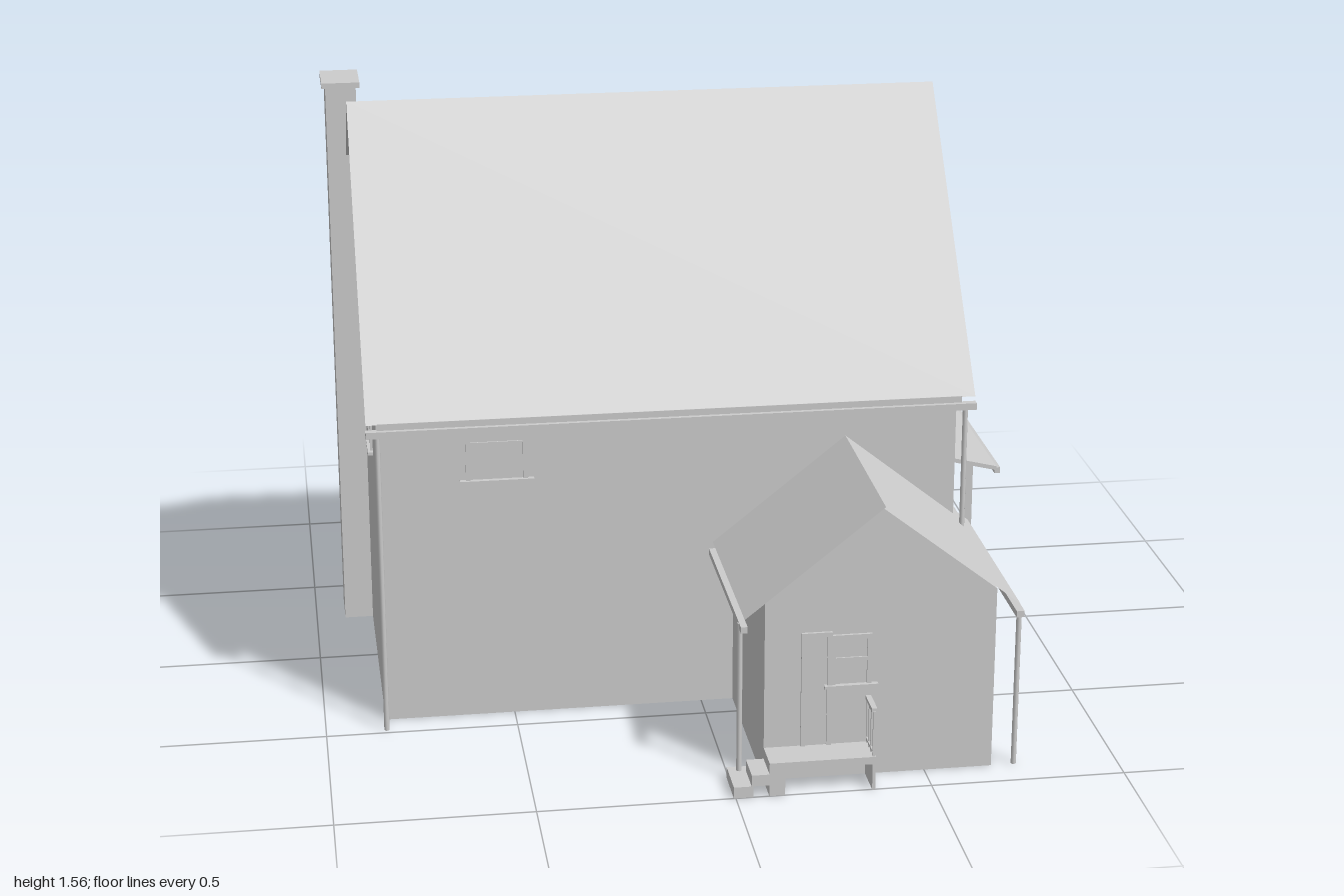
import * as THREE from 'three';

export function createModel() {
  const house = new THREE.Group();
  house.name = 'house';
  const grey = new THREE.MeshStandardMaterial({ color: 0xcccccc, side: THREE.DoubleSide });
  grey.name = 'plain grey';

  const add = (name, geometry, parent = house) => {
    const mesh = new THREE.Mesh(geometry, grey);
    mesh.name = name;
    parent.add(mesh);
    return mesh;
  };
  // Box given by its limits on each axis
  const box = (name, x0, x1, y0, y1, z0, z1, parent) => {
    const g = new THREE.BoxGeometry(x1 - x0, y1 - y0, z1 - z0);
    g.translate((x0 + x1) / 2, (y0 + y1) / 2, (z0 + z1) / 2);
    return add(name, g, parent);
  };
  // Flat four-cornered sheet
  const sheet = (name, a, b, c, d) => {
    const g = new THREE.BufferGeometry();
    g.setAttribute('position', new THREE.Float32BufferAttribute([a, b, c, a, c, d].flat(), 3));
    g.computeVertexNormals();
    return add(name, g);
  };
  // Gabled block: outline of five points, extruded
  const gable = (s0, s1, y0, eave, mid, ridge, depth) => new THREE.ExtrudeGeometry(
    new THREE.Shape([[s0, y0], [s1, y0], [s1, eave], [mid, ridge], [s0, eave]]
      .map(p => new THREE.Vector2(...p))), { depth, bevelEnabled: false });
  // Thin foundation walls, open below
  const skirt = (name, x0, x1, z0, z1, h = 0.09, t = 0.006) => {
    const g = new THREE.Group();
    g.name = name;
    house.add(g);
    box('skirtBack', x0, x1, 0, h, z0, z0 + t, g);
    box('skirtFront', x0, x1, 0, h, z1 - t, z1, g);
    box('skirtRight', x0, x0 + t, 0, h, z0, z1, g);
    box('skirtLeft', x1 - t, x1, 0, h, z0, z1, g);
  };

  // Main block and front room
  const main = gable(-0.42, 0.64, 0.085, 0.91, 0.11, 1.53, 1.517);
  main.rotateY(Math.PI / 2).translate(-0.842, 0, 0);
  add('mainWalls', main);
  skirt('mainFoundation', -0.842, 0.675, -0.64, 0.42);
  add('frontRoomWalls', gable(0.085, 0.675, 0.085, 0.49, 0.38, 0.722, 0.49).translate(0, 0, 0.42));
  skirt('frontRoomFoundation', 0.085, 0.675, 0.42, 0.91);

  // Main roof, with eave gutters
  for (const z of [0.48, -0.70]) {
    sheet('mainRoof', [-0.87, 1.545, -0.11], [-0.87, 0.848, z], [0.71, 0.848, z], [0.71, 1.545, -0.11]);
    const s = Math.sign(z);
    box('mainGutter', -0.87, 0.712, 0.815, 0.833, Math.min(z - s * 0.008, z + s * 0.012), Math.max(z - s * 0.008, z + s * 0.012));
    box('eaveBoard', -0.842, 0.675, 0.833, 0.85, Math.min(z, z - s * 0.008), Math.max(z, z - s * 0.008));
  }

  // Front room roof
  for (const x of [0.03, 0.73]) {
    sheet('frontRoomRoof', [0.38, 0.735, 0.42], [x, 0.455, 0.42], [x, 0.455, 0.935], [0.38, 0.735, 0.935]);
  }
  sheet('roofTail', [0.675, 0.499, 0.36], [0.73, 0.455, 0.36], [0.73, 0.455, 0.42], [0.675, 0.499, 0.42]);
  box('roomGutterLeft', 0.72, 0.74, 0.42, 0.437, 0.355, 0.938);
  box('roomGutterRight', 0.02, 0.037, 0.42, 0.437, 0.42, 0.938);

  // Downspouts: x, z, bottom, top
  for (const [x, z, y0, y1] of [
    [-0.842, 0.482, 0, 0.83], [0.684, 0.482, 0.47, 0.83],
    [0.684, -0.705, 0.48, 0.83], [-0.842, -0.705, 0.48, 0.83],
    [0.023, 0.905, 0, 0.435], [0.735, 0.905, 0, 0.435], [0.735, 0.39, 0, 0.435],
  ]) add('downspout', new THREE.CylinderGeometry(0.007, 0.007, y1 - y0, 8).translate(x, (y0 + y1) / 2, z));

  // Chimney
  box('chimney', -0.92, -0.838, 0, 1.545, -0.4, -0.268);
  box('chimneyCap', -0.93, -0.828, 1.545, 1.56, -0.41, -0.258);

  // Windows and door are built facing +z, then turned to their wall
  const opening = (name, x, z, turn, w, y0, y1, isDoor) => {
    const g = new THREE.Group();
    g.name = name;
    g.position.set(x, 0, z);
    g.rotation.y = turn;
    house.add(g);
    const h = w / 2, t = 0.012;
    box('pane', -h, h, y0, y1, -0.002, 0.001, g);
    box('jamb', -h, -h + t, y0, y1, 0, 0.007, g);
    box('jamb', h - t, h, y0, y1, 0, 0.007, g);
    box('head', -h, h, y1 - t, y1, 0, 0.007, g);
    if (isDoor) return;
    box('sashRail', -h, h, (y0 + y1) / 2 - 0.005, (y0 + y1) / 2 + 0.005, 0, 0.005, g);
    box('sill', -h - 0.016, h + 0.016, y0 - 0.008, y0, -0.002, 0.014, g);
  };
  const q = Math.PI / 2;
  opening('frontWindow', -0.535, 0.42, 0, 0.16, 0.665, 0.86);
  opening('roomWindow', 0.305, 0.91, 0, 0.105, 0.255, 0.39);
  opening('roomSideWindow', 0.675, 0.648, q, 0.1, 0.285, 0.39);
  opening('leftWindow', 0.675, 0.04, q, 0.135, 0.665, 0.86);
  opening('rightWindow', -0.842, 0.1, -q, 0.135, 0.665, 0.86);
  for (const x of [0.38, -0.07, -0.54]) opening('backWindow', x, -0.64, 2 * q, 0.135, 0.665, 0.86);
  opening('frontDoor', 0.217, 0.91, 0, 0.078, 0.09, 0.4, true);

  // Railing between two points
  const railing = (x0, z0, x1, z1) => {
    const g = new THREE.Group();
    g.name = 'railing';
    g.position.set(x0, 0, z0);
    g.rotation.y = -Math.atan2(z1 - z0, x1 - x0);
    house.add(g);
    const len = Math.hypot(x1 - x0, z1 - z0);
    box('topRail', 0, len, 0.211, 0.221, -0.007, 0.007, g);
    box('bottomRail', 0, len, 0.1, 0.106, -0.004, 0.004, g);
    const n = Math.round(len / 0.025);
    for (let i = 0; i <= n; i++) {
      const x = len * i / n;
      box('baluster', x - 0.003, x + 0.003, 0.09, 0.212, -0.003, 0.003, g);
    }
  };

  // Wrap-around porch deck
  box('backDeck', -0.82, 0.865, 0.075, 0.09, -0.865, -0.64);
  box('sideDeck', 0.675, 0.865, 0.075, 0.09, -0.64, -0.105);
  box('deckSkirtBack', -0.82, 0.865, 0, 0.09, -0.866, -0.858);
  box('deckSkirtSide', 0.858, 0.866, 0, 0.09, -0.865, -0.105);
  box('deckSkirtFront', 0.675, 0.865, 0, 0.09, -0.113, -0.105);
  box('deckSkirtEnd', -0.82, -0.812, 0, 0.09, -0.865, -0.64);
  for (let i = 0; i < 3; i++) {
    const z = -0.91 - i * 0.045, y = 0.09 - i * 0.03;
    box('backStep', -0.2, 0.035, y - 0.03, y, z, z + 0.05);
  }

  // Porch posts with wider feet
  for (const [x, z] of [[-0.8, -0.85], [-0.38, -0.85], [0.21, -0.85], [0.85, -0.85], [0.85, -0.555], [0.85, -0.125]]) {
    box('post', x - 0.01, x + 0.01, 0.09, 0.445, z - 0.01, z + 0.01);
    box('postFoot', x - 0.014, x + 0.014, 0.09, 0.12, z - 0.014, z + 0.014);
  }
  railing(0.85, -0.85, 0.21, -0.85);
  railing(0.21, -0.85, 0.045, -0.85);
  railing(-0.21, -0.85, -0.8, -0.85);
  railing(-0.8, -0.85, -0.8, -0.64);
  railing(0.85, -0.125, 0.85, -0.85);
  railing(0.85, -0.125, 0.675, -0.125);

  // Porch roofs: sloping slabs made by shearing a box
  const slab = (name, x0, x1, z0, z1, height) => {
    const m = box(name, x0, x1, -0.012, 0, z0, z1);
    const p = m.geometry.attributes.position;
    for (let i = 0; i < p.count; i++) p.setY(i, p.getY(i) + height(p.getX(i), p.getZ(i)));
    m.geometry.computeVertexNormals();
  };
  slab('sidePorchRoof', 0.66, 0.915, -0.915, -0.065, x => 0.5 - (x - 0.66) * 0.245);
  slab('backPorchRoof', -0.86, 0.70, -0.918, -0.64, (x, z) => 0.498 + (z + 0.64) * 0.225);
  box('sidePorchGutter', 0.91, 0.926, 0.417, 0.434, -0.915, -0.065);
  box('backPorchGutter', -0.86, 0.705, 0.417, 0.434, -0.928, -0.912);

  // Front stoop with side steps
  box('stoopDeck', 0.085, 0.355, 0.07, 0.09, 0.91, 1.0);
  box('stoopEnd', 0.347, 0.355, 0, 0.09, 0.91, 1.0);
  box('stoopStep', -0.005, 0.045, 0, 0.03, 0.885, 1.0);
  box('stoopStep', 0.04, 0.09, 0.03, 0.06, 0.91, 1.0);
  box('stoopSupport', 0.085, 0.125, 0, 0.07, 0.91, 1.0);
  railing(0.35, 0.915, 0.35, 0.994);

  return house;
}
